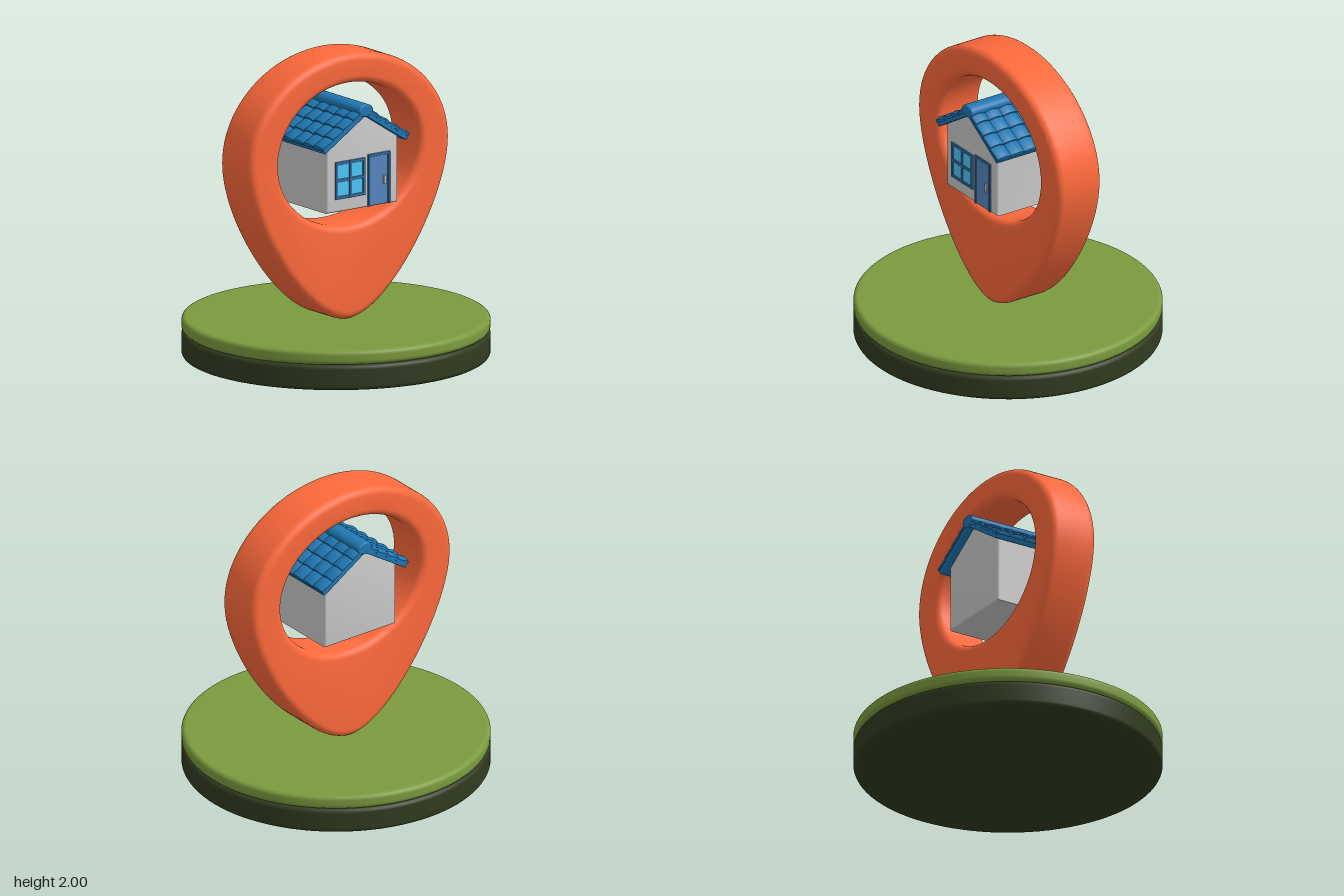
import * as THREE from 'three';
import { toCreasedNormals } from 'three/addons/utils/BufferGeometryUtils.js';
import { RoundedBoxGeometry } from 'three/addons/geometries/RoundedBoxGeometry.js';

const paint = (color) => new THREE.MeshStandardMaterial({ color });
const orange = paint(0xff6a3c), green = paint(0x7b9b3f), darkGreen = paint(0x303c20);
const grey = paint(0xcccccc), roofBlue = paint(0x1f78b4);
const frameBlue = paint(0x3570a8), doorBlue = paint(0x5588c0), glass = paint(0x4fc8f8);

function add(parent, name, geometry, material, x = 0, y = 0, z = 0) {
  const mesh = new THREE.Mesh(geometry, material);
  mesh.name = name;
  mesh.position.set(x, y, z);
  parent.add(mesh);
  return mesh;
}

// Box given by its limits in x and y, standing between two z values
function panel(parent, name, material, x0, x1, y0, y1, z0, z1, r = 0.004) {
  const geometry = new RoundedBoxGeometry(x1 - x0, y1 - y0, z1 - z0, 2, r);
  return add(parent, name, geometry, material, (x0 + x1) / 2, (y0 + y1) / 2, (z0 + z1) / 2);
}

// Extrusion with rounded edges that stays inside the drawn outline
function roundedExtrude(shape, length, bevel, curveSegments, bevelSegments = 4) {
  const geometry = new THREE.ExtrudeGeometry(shape, {
    depth: length - 2 * bevel, curveSegments, bevelSegments,
    bevelThickness: bevel, bevelSize: bevel, bevelOffset: -bevel,
  });
  geometry.translate(0, 0, bevel);
  return toCreasedNormals(geometry, 0.6);
}

// Disc with rounded rims
function disc(radius, y0, y1, r) {
  const points = [new THREE.Vector2(0, y0), new THREE.Vector2(radius - r - 0.02, y0)];
  for (const [cy, start] of [[y0 + r, -Math.PI / 2], [y1 - r, 0]]) {
    for (let i = 0; i <= 5; i++) {
      const a = start + (i / 5) * Math.PI / 2;
      points.push(new THREE.Vector2(radius - r + r * Math.cos(a), cy + r * Math.sin(a)));
    }
  }
  points.push(new THREE.Vector2(radius - r - 0.02, y1), new THREE.Vector2(0, y1));
  return new THREE.LatheGeometry(points, 96);
}

function createPin() {
  const shape = new THREE.Shape();
  shape.moveTo(0, 0.26);
  shape.bezierCurveTo(0.33, 0.26, 0.8, 0.95, 0.8, 1.34);
  shape.bezierCurveTo(0.8, 1.705, 0.442, 2, 0, 2);
  shape.bezierCurveTo(-0.442, 2, -0.8, 1.705, -0.8, 1.34);
  shape.bezierCurveTo(-0.8, 0.95, -0.33, 0.26, 0, 0.26);
  const hole = new THREE.Path();
  hole.absellipse(0, 1.34, 0.56, 0.465, 0, Math.PI * 2, true);
  shape.holes.push(hole);
  return roundedExtrude(shape, 0.335, 0.05, 40, 6);
}

// One roof slope: x runs down from the ridge, y points away from the roof
function createRoofSlope() {
  const slope = new THREE.Group();
  const rows = 4, columns = 6, width = 0.63, length = 0.385;
  const w = width / columns, step = length / rows;
  add(slope, 'roofBoard', new RoundedBoxGeometry(length, 0.03, width - 0.01, 2, 0.006),
    roofBlue, length / 2, 0.015, 0);

  // Arched tile
  const shape = new THREE.Shape();
  shape.moveTo(-w / 2, 0);
  shape.lineTo(w / 2, 0);
  shape.lineTo(w / 2, 0.016);
  shape.quadraticCurveTo(0, 0.044, -w / 2, 0.016);
  shape.closePath();
  const tile = roundedExtrude(shape, step + 0.012, 0.006, 8, 2);
  tile.rotateY(Math.PI / 2);
  for (let r = 0; r < rows; r++) {
    for (let c = 0; c < columns; c++) {
      const mesh = add(slope, 'roofTile', tile, roofBlue,
        r * step - 0.01, 0.02, (c + 0.5) * w - width / 2);
      mesh.rotation.z = 0.1;
    }
  }
  return slope;
}

function createHouse() {
  const house = new THREE.Group();
  house.name = 'house';

  // Walls with gables
  const wall = new THREE.Shape();
  wall.moveTo(-0.283, 1.015);
  wall.lineTo(0.283, 1.015);
  wall.lineTo(0.283, 1.455);
  wall.lineTo(0, 1.635);
  wall.lineTo(-0.283, 1.455);
  wall.closePath();
  add(house, 'walls', roundedExtrude(wall, 0.54, 0.015, 1), grey, 0, 0, -0.26);

  // Roof
  const roof = new THREE.Group();
  roof.name = 'roof';
  roof.position.set(0, 1.625, 0.005);
  for (const turn of [0, Math.PI]) {
    const side = new THREE.Group();
    side.name = 'roofSide';
    const slope = createRoofSlope();
    slope.name = 'roofSlope';
    slope.rotation.z = -0.57;
    side.rotation.y = turn;
    side.add(slope);
    roof.add(side);
  }
  const cap = new THREE.Shape();
  cap.absellipse(0, 0.035, 0.057, 0.041, 0, Math.PI * 2);
  add(roof, 'ridgeCap', roundedExtrude(cap, 0.63, 0.008, 24, 3), roofBlue, 0, 0, -0.315);
  house.add(roof);

  // Window: outer frame, cross bars and four panes
  const win = new THREE.Group();
  win.name = 'window';
  const x0 = -0.222, x1 = 0.018, y0 = 1.1, y1 = 1.345, t = 0.02;
  const mx = (x0 + x1) / 2, my = (y0 + y1) / 2;
  for (const x of [x0, mx - t / 2, x1 - t]) panel(win, 'windowBar', frameBlue, x, x + t, y0, y1, 0.265, 0.291);
  for (const y of [y0, my - t / 2, y1 - t]) panel(win, 'windowBar', frameBlue, x0, x1, y, y + t, 0.265, 0.29);
  for (const x of [x0 + t, mx + t / 2]) {
    for (const y of [y0 + t, my + t / 2]) {
      panel(win, 'windowPane', glass, x - 0.003, x + 0.095, y - 0.003, y + 0.098, 0.265, 0.284);
    }
  }
  house.add(win);

  // Door
  const door = new THREE.Group();
  door.name = 'door';
  panel(door, 'doorFrame', frameBlue, 0.04, 0.058, 1.018, 1.36, 0.265, 0.291);
  panel(door, 'doorFrame', frameBlue, 0.197, 0.215, 1.018, 1.36, 0.265, 0.291);
  panel(door, 'doorFrame', frameBlue, 0.04, 0.215, 1.342, 1.36, 0.265, 0.29);
  panel(door, 'doorLeaf', doorBlue, 0.055, 0.2, 1.02, 1.345, 0.265, 0.285);
  panel(door, 'doorHandle', grey, 0.161, 0.183, 1.15, 1.207, 0.28, 0.295);
  house.add(door);
  return house;
}

export function createModel() {
  const model = new THREE.Group();
  model.name = 'housePin';
  add(model, 'lowerBase', disc(0.985, 0, 0.167, 0.03), darkGreen);
  add(model, 'upperBase', disc(0.985, 0.167, 0.26, 0.03), green);
  add(model, 'pin', createPin(), orange, 0, 0, -0.178);
  model.add(createHouse());
  return model;
}
